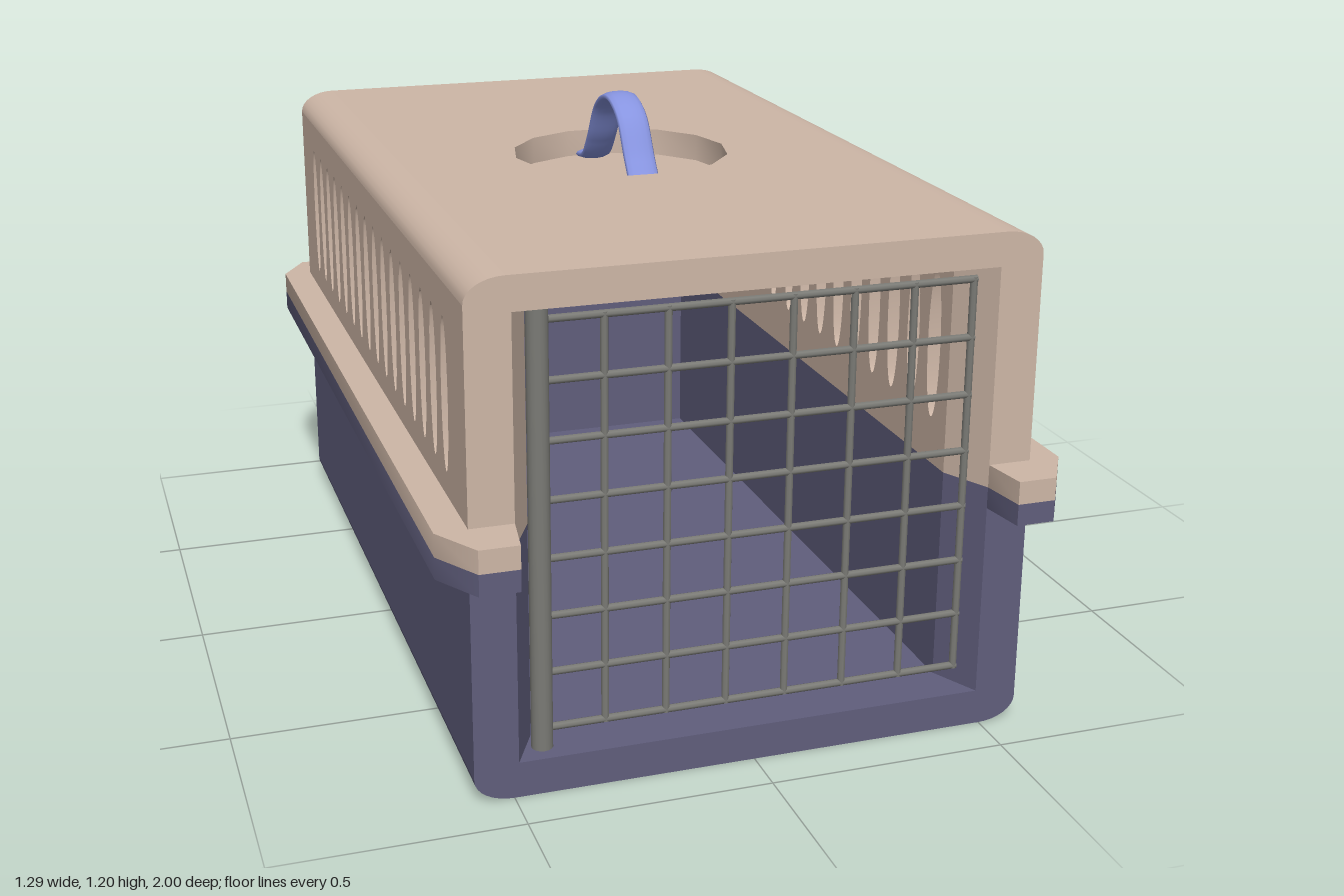
import * as THREE from 'three';
import { toCreasedNormals } from 'three/addons/utils/BufferGeometryUtils.js';

const SEAM = 0.53, TOP = 1.06, W = 0.58, INNER = 0.44, L = 0.9;

export function createModel() {
  const carrier = new THREE.Group();
  carrier.name = 'petCarrier';
  const mat = (name, color) => {
    const m = new THREE.MeshStandardMaterial({ color });
    m.name = name;
    return m;
  };
  const beige = mat('beige plastic', 0xceb7a7);
  const blue = mat('slate blue plastic', 0x605e7c);
  const handleBlue = mat('handle blue', 0x8794e0);
  const steel = mat('door grey', 0x7b7b76);

  const add = (name, geo, material, parent = carrier) => {
    const mesh = new THREE.Mesh(geo, material);
    mesh.name = name;
    parent.add(mesh);
    return mesh;
  };
  const poly = (pts) => new THREE.Shape(pts.map(([x, y]) => new THREE.Vector2(x, y)));
  const rect = (x0, x1, y0, y1) => poly([[x0, y0], [x1, y0], [x1, y1], [x0, y1]]);
  const extrude = (shape, depth, curveSegments = 8) =>
    toCreasedNormals(new THREE.ExtrudeGeometry(shape, { depth, curveSegments, bevelEnabled: false }), 0.6);
  // plan shape given as (x, z), filling y0..y1
  const plan = (shape, y0, y1, segs) => extrude(shape, y1 - y0, segs).rotateX(Math.PI / 2).translate(0, y1, 0);
  // side shape given as (z, y), filling x0..x1
  const side = (shape, x0, x1) => extrude(shape, x1 - x0, 16).rotateY(-Math.PI / 2).translate(x1, 0, 0);
  const box = (x0, x1, y0, y1, z0, z1) =>
    new THREE.BoxGeometry(x1 - x0, y1 - y0, z1 - z0).translate((x0 + x1) / 2, (y0 + y1) / 2, (z0 + z1) / 2);

  const upper = new THREE.Group();
  upper.name = 'upperShell';
  const lower = new THREE.Group();
  lower.name = 'lowerShell';
  carrier.add(upper, lower);

  for (const s of [1, -1]) {
    const label = s > 0 ? 'left' : 'right';
    const [x0, x1] = s > 0 ? [INNER, W] : [-W, -INNER];

    // side walls, the upper one with a row of oval vents
    const vented = rect(-L, 0.8, SEAM, 1.01);
    for (let i = 0; i < 16; i++) {
      const hole = new THREE.Path();
      hole.absellipse(-0.73 + i * 1.46 / 15, 0.785, 0.028, 0.157, 0, Math.PI * 2, true);
      vented.holes.push(hole);
    }
    add(label + 'VentedWall', side(vented, x0, x1), beige, upper);
    add(label + 'LowerWall', side(rect(-L, 0.8, 0.05, SEAM), x0, x1), blue, lower);

    // tapered door jambs
    const jamb = poly([[s * W, 0.8], [s * W, L], [s * 0.49, L], [s * INNER, 0.8]]);
    add(label + 'UpperJamb', plan(jamb, SEAM, 1.01), beige, upper);
    add(label + 'LowerJamb', plan(jamb, 0.05, SEAM), blue, lower);

    // rounded long edges
    for (const [name, yEdge, d, m, g] of [['TopEdge', 1.01, 1, beige, upper], ['BottomEdge', 0.05, -1, blue, lower]]) {
      const pts = [[s * 0.5, yEdge]];
      for (let i = 0; i <= 8; i++) {
        const a = i / 8 * Math.PI / 2;
        pts.push([s * (0.5 + 0.08 * Math.cos(a)), yEdge + d * 0.05 * Math.sin(a)]);
      }
      add(label + name, extrude(poly(pts), 2 * L).translate(0, 0, -L), m, g);
    }
  }

  // roof with a faceted round recess for the handle
  const roof = rect(-0.5, 0.5, -L, L);
  const recess = new THREE.Path();
  recess.absarc(0, 0, 0.243, 0, Math.PI * 2, true);
  roof.holes.push(recess);
  add('roof', plan(roof, 1.0, TOP, 7), beige, upper);
  add('roofLining', box(-0.5, 0.5, 0.99, 1.0, -L, L), beige, upper);
  add('upperBackWall', box(-INNER, INNER, SEAM, 0.99, -L, -0.83), beige, upper);
  add('floor', box(-0.5, 0.5, 0, 0.075, -L, L), blue, lower);
  add('lowerBackWall', box(-INNER, INNER, 0.075, SEAM, -L, -0.83), blue, lower);

  // joining rim, open at the door
  const half = [[0.5, 0.85], [0.49, L], [0.505, 1], [0.585, 1], [0.645, 0.9], [0.645, -0.9], [0.585, -1]];
  const mirror = half.map(([x, z]) => [-x, z]).reverse();
  const rim = poly([...half, ...mirror, [-0.5, -0.86], [0.5, -0.86]]);
  add('upperRim', plan(rim, SEAM, 0.578), beige, upper);
  add('lowerRim', plan(rim, 0.485, SEAM), blue, lower);

  // wire door on a hinge post
  const door = new THREE.Group();
  door.name = 'door';
  door.position.z = 0.85;
  carrier.add(door);
  add('hingePost', new THREE.CylinderGeometry(0.022, 0.022, 0.915, 16), steel, door).position.set(-0.43, 0.5325, 0);
  for (let i = 0; i < 8; i++) {
    const bar = new THREE.CylinderGeometry(0.008, 0.008, 0.89, 8).rotateZ(Math.PI / 2);
    add('horizontalBar', bar, steel, door).position.set(0.02, 0.115 + i * 0.12, 0);
  }
  for (let i = 0; i < 7; i++) {
    const bar = new THREE.CylinderGeometry(0.008, 0.008, 0.85, 8);
    add('verticalBar', bar, steel, door).position.set(-0.3 + i * 0.1265, 0.535, 0);
  }

  // arched strap handle, wide and flat
  const arch = new THREE.CatmullRomCurve3([
    [0.235, 1.005], [0.19, 1.015], [0.145, 1.065], [0.08, 1.155], [0, 1.184],
    [-0.08, 1.155], [-0.145, 1.065], [-0.19, 1.015], [-0.235, 1.005],
  ].map(([z, y]) => new THREE.Vector3(0, y, z)));
  add('handle', new THREE.TubeGeometry(arch, 40, 0.0115, 14).scale(3.1, 1, 1), handleBlue);

  return carrier;
}
